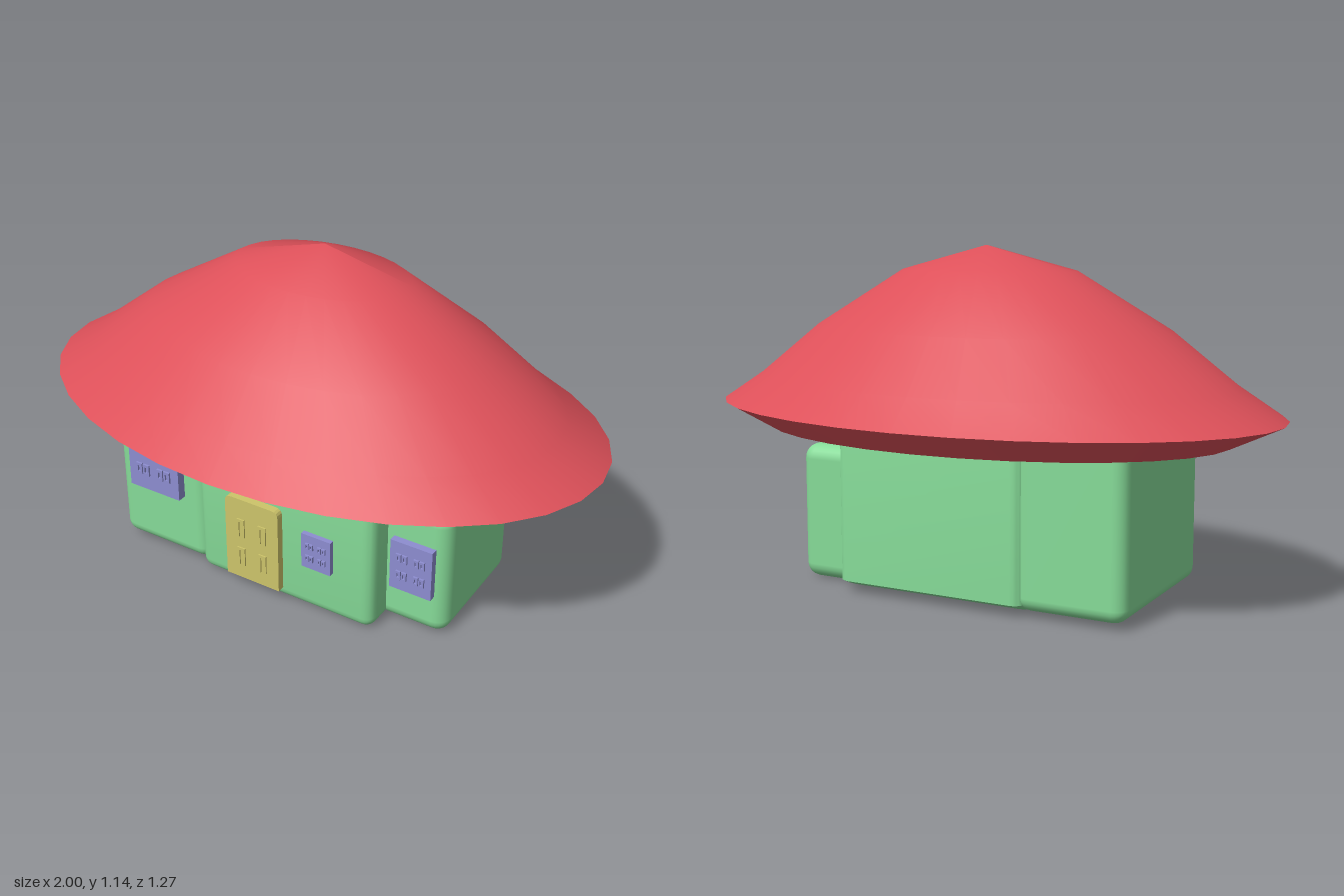
import * as THREE from 'three';
import { toCreasedNormals } from 'three/addons/utils/BufferGeometryUtils.js';
import { RoundedBoxGeometry } from 'three/addons/geometries/RoundedBoxGeometry.js';

const paint = (color, side = THREE.FrontSide) => new THREE.MeshStandardMaterial({ color, side });
const red = paint(0xdd5059, THREE.DoubleSide);
const green = paint(0x86db98);
const purple = paint(0x8d8dd0);
const yellow = paint(0xcdc46a);

function add(parent, name, geometry, material) {
  const mesh = new THREE.Mesh(geometry, material);
  mesh.name = name;
  parent.add(mesh);
  return mesh;
}

// Softly bevelled block given by its limits on each axis
function block([x0, x1], [y0, y1], [z0, z1], radius) {
  return new RoundedBoxGeometry(x1 - x0, y1 - y0, z1 - z0, 3, radius)
    .translate((x0 + x1) / 2, (y0 + y1) / 2, (z0 + z1) / 2);
}

// Rectangle outline centred on the origin, usable as shape or hole
function rectangle(w, h, PathType = THREE.Shape) {
  return new PathType([
    [-w / 2, -h / 2], [w / 2, -h / 2], [w / 2, h / 2], [-w / 2, h / 2],
  ].map(([x, y]) => new THREE.Vector2(x, y)));
}

// Oval cap: a lathe squashed in z, with its peak leaning slightly back
function roofGeometry() {
  const profile = [
    [0.83, 0.53], [1, 0.61], [0.85, 0.705], [0.63, 0.875],
    [0.31, 1.063], [0.001, 1.145],
  ].map(([r, y]) => new THREE.Vector2(r, y));
  const geometry = new THREE.LatheGeometry(profile, 32);
  const p = geometry.attributes.position;
  for (let i = 0; i < p.count; i++) {
    const r = Math.hypot(p.getX(i), p.getZ(i));
    const lean = p.getY(i) > 0.6 ? 0.03 * (1 - r) ** 2 : 0;
    p.setZ(i, p.getZ(i) * 0.635 - lean);
  }
  return toCreasedNormals(geometry, 0.8);
}

// Main room, its lower back edge cut away to a long slope
function mainRoomGeometry() {
  const geometry = block([-0.28, 0.4], [0, 0.72], [-0.335, 0.33], 0.04);
  const p = geometry.attributes.position;
  for (let i = 0; i < p.count; i++) {
    const y = p.getY(i);
    if (y < 0.04 && p.getZ(i) < -0.2) p.setZ(i, p.getZ(i) + 0.08 * (1 - y / 0.04));
  }
  return toCreasedNormals(geometry, 0.7);
}

// Window board with four panes, each a pair of raised frames
function makeWindow(name, x, y, z, w, h, depth) {
  const group = new THREE.Group();
  group.name = name;
  group.position.set(x, y, z);
  add(group, 'windowBoard', new THREE.BoxGeometry(w, h, depth), purple);
  const frame = rectangle(w * 0.12, h * 0.17);
  frame.holes.push(rectangle(w * 0.05, h * 0.09, THREE.Path));
  const geometry = new THREE.ExtrudeGeometry(frame, { depth: 0.008, bevelEnabled: false });
  for (const sx of [-1, 1]) for (const sy of [-1, 1]) for (const half of [-1, 1]) {
    add(group, 'windowPane', geometry, purple)
      .position.set(sx * w * 0.21 + half * w * 0.07, sy * h * 0.18, depth / 2 - 0.001);
  }
  return group;
}

// Round-topped door with four raised arches
function makeDoor() {
  const group = new THREE.Group();
  group.name = 'door';
  group.position.set(-0.043, 0.045, 0.32);
  const w = 0.104, h = 0.317, r = 0.025;
  const outline = new THREE.Shape();
  outline.moveTo(-w, 0);
  outline.lineTo(w, 0);
  outline.lineTo(w, h - r);
  outline.quadraticCurveTo(w, h, w - r, h);
  outline.lineTo(r - w, h);
  outline.quadraticCurveTo(-w, h, -w, h - r);
  add(group, 'doorBoard',
    new THREE.ExtrudeGeometry(outline, { depth: 0.037, bevelEnabled: false, curveSegments: 4 }), yellow);

  const arch = new THREE.Shape([
    [-0.015, -0.035], [-0.006, -0.035], [-0.006, 0.025], [0.006, 0.025],
    [0.006, -0.035], [0.015, -0.035], [0.015, 0.035], [-0.015, 0.035],
  ].map(([x, y]) => new THREE.Vector2(x, y)));
  const archGeometry = new THREE.ExtrudeGeometry(arch, { depth: 0.006, bevelEnabled: false });
  for (const x of [-0.042, 0.042]) for (const y of [0.09, 0.205]) {
    add(group, 'doorArch', archGeometry, yellow).position.set(x, y, 0.036);
  }
  return group;
}

export function createModel() {
  const model = new THREE.Group();
  model.name = 'mushroomHouse';

  add(model, 'roof', roofGeometry(), red);
  add(model, 'mainRoom', mainRoomGeometry(), green);
  add(model, 'tallWing', block([-0.62, -0.25], [0.02, 0.63], [-0.325, 0.325], 0.045), green);
  add(model, 'smallWing', block([0.33, 0.615], [0, 0.467], [-0.235, 0.232], 0.05), green);

  model.add(
    makeDoor(),
    makeWindow('largeWindow', -0.442, 0.39, 0.34, 0.206, 0.25, 0.034),
    makeWindow('smallWindow', 0.2, 0.246, 0.337, 0.11, 0.13, 0.02),
    makeWindow('wingWindow', 0.498, 0.246, 0.244, 0.15, 0.185, 0.026),
  );
  return model;
}
